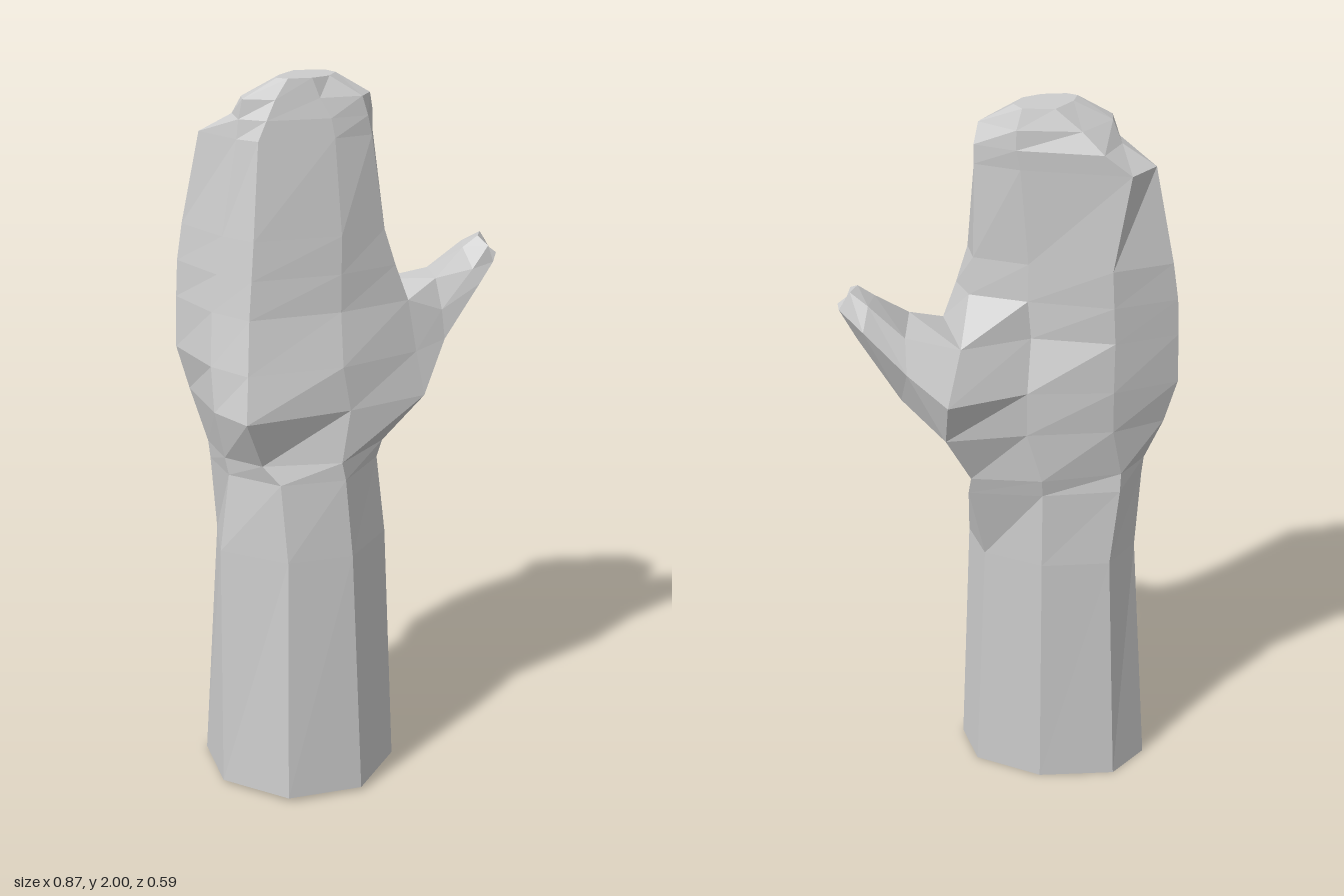
import * as THREE from 'three';

// Skin a list of closed rings (arrays of Vector3, counter-clockwise about the growth direction);
// open(row, column) leaves a gap where another part grows out
function loft(rings, { capStart = false, capEnd = false, open = () => false } = {}) {
  const pos = [];
  const tri = (a, b, c) => pos.push(...a.toArray(), ...b.toArray(), ...c.toArray());
  const n = rings[0].length;
  for (let r = 0; r < rings.length - 1; r++) {
    const a = rings[r], b = rings[r + 1];
    for (let i = 0; i < n; i++) {
      if (open(r, i)) continue;
      const j = (i + 1) % n;
      tri(a[i], a[j], b[j]);
      tri(a[i], b[j], b[i]);
    }
  }
  const cap = (ring, flip) => {
    const c = ring.reduce((s, p) => s.add(p), new THREE.Vector3()).divideScalar(n);
    ring.forEach((p, i) => {
      const q = ring[(i + 1) % n];
      flip ? tri(c, q, p) : tri(c, p, q);
    });
  };
  if (capStart) cap(rings[0], true);
  if (capEnd) cap(rings[rings.length - 1], false);
  const g = new THREE.BufferGeometry();
  g.setAttribute('position', new THREE.Float32BufferAttribute(pos, 3));
  g.computeVertexNormals();
  return g;
}

// Horizontal ring at height y from x,z pairs: outer side, front, thumb side, back
function level(y, ...xz) {
  const ring = [];
  for (let i = 0; i < xz.length; i += 2) ring.push(new THREE.Vector3(xz[i], y, xz[i + 1]));
  return ring;
}

// Free ring from x,y,z triples
function section(...xyz) {
  const ring = [];
  for (let i = 0; i < xyz.length; i += 3) ring.push(new THREE.Vector3(xyz[i], xyz[i + 1], xyz[i + 2]));
  return ring;
}

export function createModel() {
  const group = new THREE.Group();
  group.name = 'hand';
  const grey = new THREE.MeshStandardMaterial({ color: 0xcccccc, flatShading: true });
  grey.name = 'plainGrey';
  const add = (name, geometry) => {
    const mesh = new THREE.Mesh(geometry, grey);
    mesh.name = name;
    group.add(mesh);
  };

  // Eight-sided forearm, narrowing to the wrist, its cut end rising slightly to the front
  const cut = level(0, -.38, .02, -.3, .21, -.1, .293, .1, .21, .175, 0, .1, -.12, -.1, -.16, -.31, -.1);
  cut.forEach((p) => { p.y = Math.max(0, p.z * .05); });
  const wrist = level(1.0, -.345, .04, -.28, .16, -.17, .215, .04, .17, .135, -.01, .09, -.185, -.1, -.16, -.3, -.07);
  add('forearm', loft([
    cut,
    level(.73, -.33, .02, -.295, .18, -.1, .245, .07, .18, .145, 0, .07, -.12, -.1, -.155, -.28, -.1),
    level(.95, -.34, .04, -.27, .16, -.12, .225, .05, .17, .12, -.01, .1, -.175, -.1, -.15, -.3, -.08),
    wrist,
  ], { capStart: true }));

  // Palm and closed fingers, the outer finger ending lower, with a gap for the thumb
  const heel = level(1.14, -.4, 0, -.3, .19, -.2, .28, .06, .14, .25, 0, .14, -.25, -.06, -.17, -.28, -.1);
  const middle = level(1.26, -.433, 0, -.31, .165, -.2, .24, .04, .14, .225, -.015, .12, -.295, -.06, -.165, -.28, -.11);
  const web = level(1.4, -.43, -.01, -.31, .13, -.2, .2, .03, .1, .2, -.03, .1, -.23, -.06, -.12, -.28, -.11);
  add('palmAndFingers', loft([
    wrist, heel, middle, web,
    level(1.5, -.425, -.015, -.295, .12, -.195, .182, .03, .09, .165, -.02, .11, -.1, -.05, -.115, -.275, -.113),
    level(1.6, -.41, -.02, -.28, .11, -.19, .165, .03, .08, .135, -.01, .1, -.09, -.05, -.11, -.27, -.115),
    level(1.85, -.355, -.01, -.24, .09, -.18, .12, .01, .055, .1, -.005, .095, -.09, -.03, -.115, -.31, -.105),
    level(1.9, -.265, 0, -.235, .085, -.16, .105, 0, .05, .09, 0, .095, -.09, -.02, -.118, -.24, -.11),
    level(1.95, -.235, .03, -.225, .08, -.14, .085, -.03, .045, .075, 0, .09, -.06, -.02, -.115, -.18, -.09),
    level(2.0, -.14, 0, -.14, .05, -.11, .06, -.05, .04, -.01, 0, .0, -.06, -.03, -.095, -.11, -.08),
  ], { capEnd: true, open: (row, column) => column === 4 && (row === 1 || row === 2) }));

  // Thumb, grown from the edge of the gap: three points down the front, three up the back
  add('thumb', loft([
    [web[4], middle[4], heel[4], heel[5], middle[5], web[5]],
    section(.27, 1.44, -.11, .29, 1.36, -.08, .3, 1.28, -.07, .27, 1.23, -.21, .23, 1.34, -.285, .24, 1.43, -.255),
    section(.34, 1.51, -.18, .37, 1.46, -.14, .39, 1.42, -.135, .38, 1.4, -.22, .34, 1.45, -.29, .335, 1.51, -.255),
    section(.38, 1.54, -.195, .41, 1.52, -.165, .425, 1.475, -.165, .432, 1.49, -.21, .415, 1.49, -.25, .385, 1.54, -.245),
  ], { capEnd: true }));

  return group;
}
